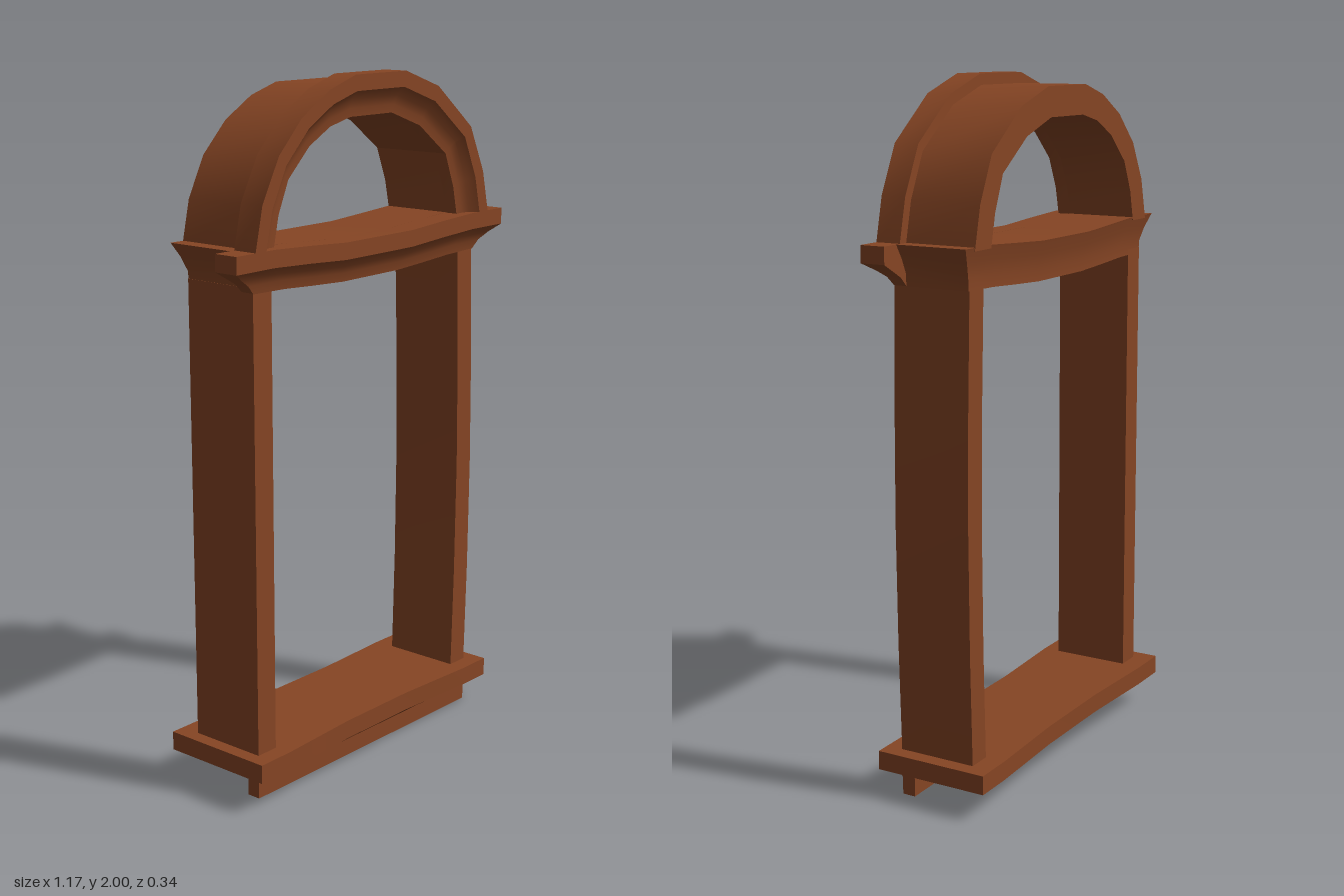
import * as THREE from 'three';
import { toCreasedNormals } from 'three/addons/utils/BufferGeometryUtils.js';

const wood = new THREE.MeshStandardMaterial({ color: 0x864524 });
wood.name = 'warm brown wood';

// Solid swept through stations. Each section is a stack of rows with a front (side 0)
// and a back (side 1) point given by pointAt(station, row, side).
function sweep(name, stations, rows, pointAt) {
  const sections = stations.map((s) => [
    ...rows.map((r) => pointAt(s, r, 0)),
    ...rows.map((r) => pointAt(s, r, 1)).reverse(),
  ]);
  const n = rows.length * 2;
  const tris = [];
  const quad = (a, b, c, d) => tris.push([a, b, c], [a, c, d]);
  for (let i = 0; i < sections.length - 1; i++) {
    for (let j = 0; j < n; j++) {
      const k = (j + 1) % n;
      quad(sections[i][j], sections[i][k], sections[i + 1][k], sections[i + 1][j]);
    }
  }
  const first = sections[0], last = sections[sections.length - 1];
  for (let r = 0; r < rows.length - 1; r++) {
    const o = n - 1 - r;
    quad(first[r], first[o], first[o - 1], first[r + 1]);
    quad(last[r], last[r + 1], last[o - 1], last[o]);
  }
  // Turn all faces outward
  const v = (p) => new THREE.Vector3(...p);
  const volume = tris.reduce((sum, [a, b, c]) => sum + v(a).dot(v(b).cross(v(c))), 0);
  if (volume < 0) tris.forEach((t) => t.reverse());
  const geometry = new THREE.BufferGeometry();
  geometry.setAttribute('position', new THREE.Float32BufferAttribute(tris.flat(2), 3));
  const mesh = new THREE.Mesh(toCreasedNormals(geometry, 0.55), wood);
  mesh.name = name;
  return mesh;
}

// 1 in the middle, fading to 0 towards the ends
const middle = (x) => THREE.MathUtils.clamp((0.41 - Math.abs(x)) / 0.27, 0, 1);

export function createModel() {
  const model = new THREE.Group();
  model.name = 'archedWindowFrame';

  // Arch: matching outer and inner outlines, slightly irregular
  const outer = [[-0.515, 1.56], [-0.485, 1.69], [-0.42, 1.81], [-0.33, 1.9], [-0.22, 1.965], [-0.11, 2],
    [0.11, 2], [0.26, 1.95], [0.42, 1.825], [0.485, 1.69], [0.515, 1.56]];
  const inner = [[-0.405, 1.56], [-0.385, 1.65], [-0.345, 1.74], [-0.26, 1.82], [-0.175, 1.865], [-0.09, 1.885],
    [0.09, 1.885], [0.22, 1.84], [0.345, 1.75], [0.385, 1.65], [0.405, 1.56]];
  const archPoint = (i, [t, front, back], side) => [
    THREE.MathUtils.lerp(inner[i][0], outer[i][0], t),
    THREE.MathUtils.lerp(inner[i][1], outer[i][1], t),
    side ? back : front,
  ];
  const archStations = outer.map((_, i) => i);
  model.add(sweep('archMoulding', archStations,
    [[1, 0.155, 0.08], [0.62, 0.155, 0.08], [0.42, 0.132, 0.08], [0.2, 0.123, 0.08], [0, 0.12, 0.08]], archPoint));
  model.add(sweep('archBack', archStations, [[0.73, 0.08, -0.135], [0, 0.08, -0.135]], archPoint));

  // Lintel: rows are [y, half width, front z, back z], sagging in the middle
  const beamPoint = (s, [y, half, front, back], side) => {
    const x = s * half;
    return [x, y - 0.017 * middle(x), side ? back : front];
  };
  const beamStations = [-1, -0.75, -0.5, -0.25, 0.25, 0.5, 0.75, 1];
  model.add(sweep('lintelMoulding', beamStations, [[1.57, 0.585, 0.155, 0.08], [1.522, 0.585, 0.155, 0.08],
    [1.5, 0.545, 0.135, 0.08], [1.48, 0.51, 0.125, 0.08], [1.455, 0.485, 0.12, 0.08]], beamPoint));
  model.add(sweep('lintelBack', beamStations, [[1.57, 0.53, 0.08, -0.135], [1.53, 0.505, 0.08, -0.123],
    [1.49, 0.487, 0.08, -0.115], [1.455, 0.485, 0.08, -0.115]], beamPoint));

  // Posts: the left one bows outward
  const postStations = [0.11, 0.45, 0.8, 1.13, 1.47];
  for (const [name, inside, outside, bow] of [['rightPost', -0.415, -0.487, 0], ['leftPost', 0.412, 0.481, 0.015]]) {
    model.add(sweep(name, postStations, [inside, outside], (y, x, side) => [
      x + bow * Math.sin((Math.PI * (y - 0.11)) / 1.36), y, side ? -0.115 : 0.12,
    ]));
  }

  // Sill: tilted board with a narrower waist
  model.add(sweep('sill', [-0.528, -0.41, -0.275, -0.14, 0.14, 0.275, 0.41, 0.525], [0.1425, 0.0875],
    (x, y, side) => [x, y - 0.0145 * x, side ? -0.175 + 0.013 * middle(x) : 0.17 - 0.015 * middle(x)]));

  // Apron under the sill with a cove at the top
  model.add(sweep('apron', [-0.487, 0.48], [[0.082, 0.152], [0.066, 0.132], [0.051, 0.12], [0, 0.12]],
    (x, [y, front], side) => [x, y + 0.0096 - 0.02 * x, side ? 0.08 : front]));

  return model;
}
